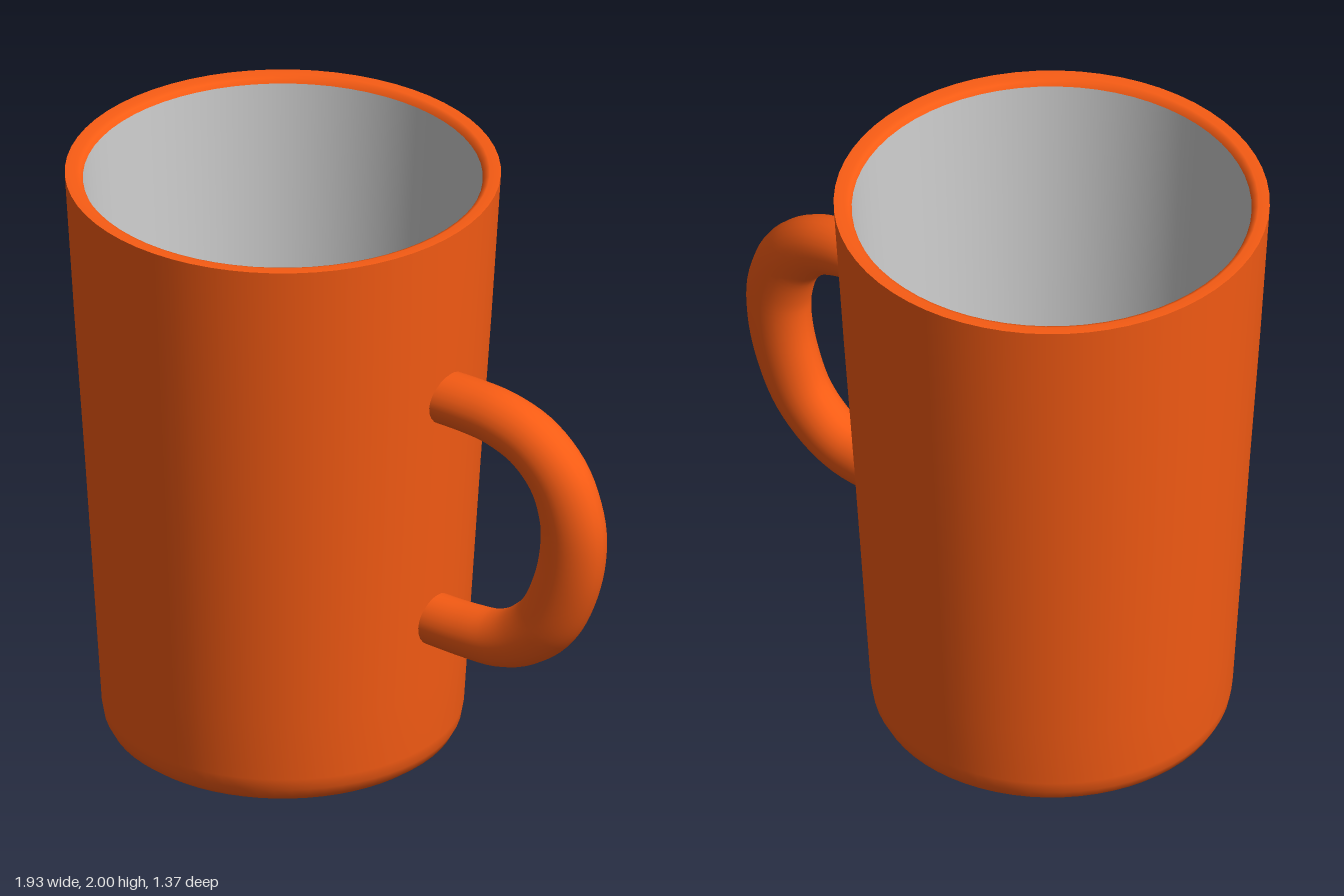
import * as THREE from 'three';
import { mergeVertices } from 'three/addons/utils/BufferGeometryUtils.js';

const AXIS_X = -0.285;
const orange = new THREE.MeshStandardMaterial({ color: 0xf85c14 });
const grey = new THREE.MeshStandardMaterial({ color: 0xcccccc });

const points = (list) => list.map(([x, y]) => new THREE.Vector2(x, y));

// Surface of revolution about the cup's axis
function turned(name, profile, material) {
  const mesh = new THREE.Mesh(new THREE.LatheGeometry(points(profile), 64), material);
  mesh.name = name;
  mesh.position.x = AXIS_X;
  return mesh;
}

// D-shaped tube, thickest at the middle of the bend
function handleGeometry() {
  const path = new THREE.CatmullRomCurve3([
    [0.32, 1.4], [0.46, 1.4], [0.57, 1.39], [0.695, 1.345], [0.795, 1.25], [0.845, 1.12],
    [0.85, 1.02], [0.825, 0.89], [0.755, 0.74], [0.655, 0.65], [0.56, 0.61], [0.45, 0.6], [0.275, 0.6],
  ].map(([x, y]) => new THREE.Vector3(x, y, 0)), false, 'centripetal');
  const rings = 56, sides = 24;
  const geometry = new THREE.TubeGeometry(path, rings, 0.1, sides, false);
  const pos = geometry.attributes.position;
  const p = new THREE.Vector3();
  for (let i = 0; i <= rings; i++) {
    const t = i / rings;
    const centre = path.getPointAt(t);
    const swell = 0.85 + 0.27 * Math.sin(Math.PI * t) ** 2;
    const width = 0.94 - 0.1 * t;
    for (let j = 0; j <= sides; j++) {
      const k = i * (sides + 1) + j;
      p.fromBufferAttribute(pos, k).sub(centre);
      p.set(p.x * swell, p.y * swell, p.z * width).add(centre);
      pos.setXYZ(k, p.x, p.y, p.z);
    }
  }
  // Weld the lengthwise seam so the shading stays smooth
  geometry.deleteAttribute('uv');
  geometry.deleteAttribute('normal');
  const welded = mergeVertices(geometry, 1e-4);
  welded.computeVertexNormals();
  return welded;
}

export function createModel() {
  const mug = new THREE.Group();
  mug.name = 'mug';

  // Tapered outside with a softly rounded, slightly domed base
  mug.add(turned('outerWall', [
    [0, 0], [0.2, 0.005], [0.36, 0.015], [0.46, 0.028], [0.515, 0.045], [0.545, 0.068],
    [0.562, 0.1], [0.569, 0.14], [0.582, 0.35], [0.622, 1], [0.655, 1.5], [0.685, 2],
  ], orange));

  // Flat lip with a small roll inward
  mug.add(turned('rim', [[0.685, 2], [0.65, 2], [0.637, 1.995], [0.628, 1.98]], orange));

  // Grey lining and floor
  mug.add(turned('lining', [
    [0.628, 1.98], [0.595, 1.5], [0.562, 1], [0.522, 0.35], [0.51, 0.2],
    [0.495, 0.15], [0.46, 0.115], [0.4, 0.095], [0.2, 0.082], [0, 0.08],
  ], grey));

  const handle = new THREE.Mesh(handleGeometry(), orange);
  handle.name = 'handle';
  mug.add(handle);

  return mug;
}
